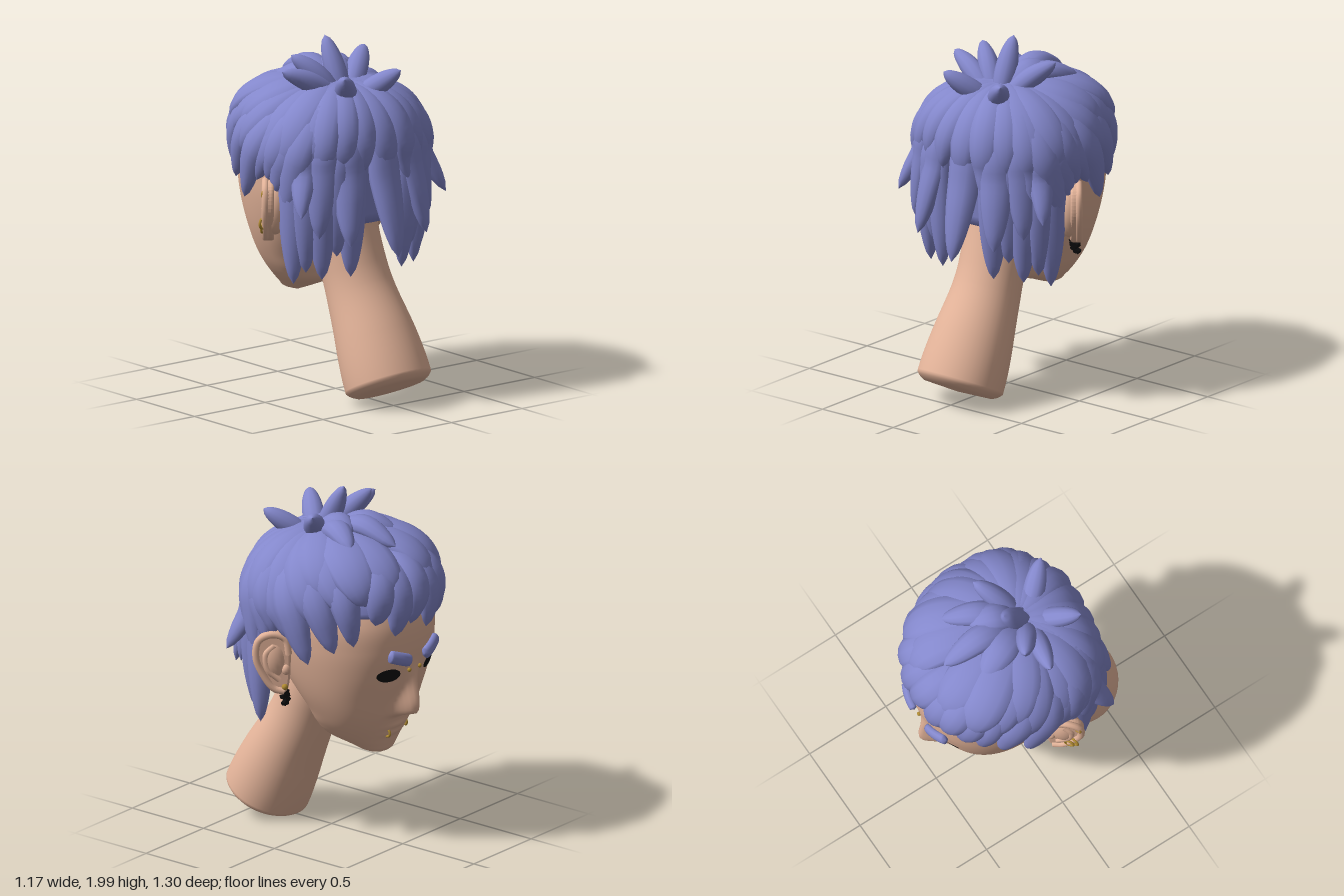
import * as THREE from 'three';

const V = (x, y, z) => new THREE.Vector3(x, y, z);
const mat = (name, color) => Object.assign(new THREE.MeshStandardMaterial({ color }), { name });
const smooth = THREE.MathUtils.smoothstep;
const spow = (v, e) => Math.sign(v) * Math.pow(Math.abs(v), e);

// Skin through closed rings of points, counter-clockwise around the direction of travel
function loft(rings) {
  const n = rings[0].length, pos = [], idx = [];
  rings.forEach(r => r.forEach(p => pos.push(p.x, p.y, p.z)));
  for (let i = 0; i < rings.length - 1; i++) for (let j = 0; j < n; j++) {
    const a = i * n + j, b = i * n + (j + 1) % n;
    idx.push(a, b, b + n, a, b + n, a + n);
  }
  const g = new THREE.BufferGeometry();
  g.setAttribute('position', new THREE.Float32BufferAttribute(pos, 3));
  g.setIndex(idx);
  g.computeVertexNormals();
  return g;
}

// Elliptical tube along a curve; out(p) gives the thickness direction, prof(t) the taper
function sweep(points, w, th, out, prof, steps = 16, sides = 12) {
  const c = new THREE.CatmullRomCurve3(points), rings = [];
  for (let i = 0; i <= steps; i++) {
    const t = i / steps, p = c.getPoint(t), T = c.getTangent(t), N = out(p);
    N.addScaledVector(T, -N.dot(T)).normalize();
    const B = N.clone().cross(T), r = Math.max(prof(t), 0.003);
    rings.push(Array.from({ length: sides }, (_, j) => {
      const q = j / sides * Math.PI * 2;
      return p.clone().addScaledVector(B, Math.cos(q) * w * r).addScaledVector(N, Math.sin(q) * th * r);
    }));
  }
  return loft(rings);
}

// Head slices: height, then face z, back z, half width
const levels = [0.515, 0.54, 0.58, 0.63, 0.70, 0.78, 0.9, 1.05, 1.2, 1.35, 1.5, 1.6, 1.67, 1.7];
const slices = [
  -0.335, -0.325, 0.005, -0.39, -0.26, 0.08, -0.412, -0.16, 0.135, -0.43, -0.03, 0.2, -0.46, 0.02, 0.258,
  -0.49, 0.05, 0.305, -0.525, 0.13, 0.36, -0.572, 0.24, 0.405, -0.597, 0.31, 0.43, -0.59, 0.33, 0.43,
  -0.53, 0.3, 0.37, -0.44, 0.23, 0.27, -0.28, 0.12, 0.15, -0.08, -0.06, 0.01];
const spline = new THREE.CubicInterpolant(levels, slices, 3, new Float32Array(3));
const EXP = 2.2;

// Nose, lips and eye sockets as relief on the face
function relief(x, y) {
  const nose = 0.104 * smooth(y, 0.765, 0.805) * (1 - smooth(y, 0.82, 1.13));
  const sig = 0.028 + 0.022 * (1 - smooth(y, 0.8, 0.98));
  const lip = h => 0.012 * Math.exp(-(((y - h) / 0.016) ** 2) - (x / 0.085) ** 2);
  const socket = 0.01 * Math.exp(-(((y - 1.04) / 0.06) ** 2) - ((Math.abs(x) - 0.15) / 0.07) ** 2);
  return nose * Math.exp(-x * x / (2 * sig * sig)) + lip(0.705) + lip(0.66) - socket;
}
function slice(y) {
  const [zf, zb, w] = spline.evaluate(y);
  return { zf, zb, w, zc: zf + (zb - zf) * 0.55 };
}
function faceZ(x, y) {
  const { zf, w, zc } = slice(y);
  return zc - (zc - zf) * Math.pow(1 - Math.min(1, Math.abs(x / w)) ** EXP, 1 / EXP) - relief(x, y);
}
function headGeometry() {
  const rings = [], rows = 100, n = 144;
  for (let i = 0; i <= rows; i++) {
    const y = 0.515 + 1.185 * i / rows, { zf, zb, w, zc } = slice(y);
    rings.push(Array.from({ length: n }, (_, j) => {
      const q = j / n * Math.PI * 2, c = spow(Math.cos(q), 2 / EXP), x = w * spow(Math.sin(q), 2 / EXP);
      return V(x, y, c < 0 ? zc + (zc - zf) * c - relief(x, y) * smooth(-c, 0, 0.5) : zc + (zb - zc) * c);
    }));
  }
  return loft(rings);
}

// Hair surface: azimuth a in degrees (0 = face side), s = 0 at the crown, 1 at the temples, more hangs down
function scalp(a, s, k = 0, lift = 1) {
  const q = a * Math.PI / 180, u = Math.min(s, 1) * Math.PI / 2, d = Math.max(0, s - 1);
  const cz = -spow(Math.cos(q), 0.95), e = 1 - 0.2 * smooth(-cz, 0, 0.6);
  const r = Math.pow(Math.sin(u), e) * (1 + k * d) * lift;
  const y = 1.35 + 0.37 * lift * Math.pow(Math.max(0, Math.cos(u)), e) - 0.9 * d;
  return V(0.47 * spow(Math.sin(q), 0.85) * r, y, (cz < 0 ? 0.59 : 0.39) * cz * r + 0.03 * (1 - Math.min(s, 1)));
}
const sAt = y => 1 + (1.35 - y) / (y < 1.35 ? 0.9 : 0.63);

export function createModel() {
  const root = new THREE.Group();
  const skin = mat('skin', 0xe3b399), hair = mat('hair', 0x8387cb);
  const black = mat('black', 0x0b0b0c), gold = mat('gold', 0xb08b32);
  black.side = THREE.DoubleSide;
  const add = (name, geo, m, parent = root) => {
    const mesh = new THREE.Mesh(geo, m);
    mesh.name = name;
    parent.add(mesh);
    return mesh;
  };

  add('head', headGeometry(), skin);

  // Neck with a rounded, tilted cut
  add('neck', sweep([V(0.015, 0.085, 0.46), V(0.015, 0.36, 0.327), V(0.01, 0.62, 0.195), V(0, 0.9, 0.09), V(0, 1.15, 0.03)],
    0.247, 0.236, () => V(0, 0, 1),
    t => (t === 0 ? 0 : Math.pow(Math.min(1, t / 0.04), 0.16) * (1 - 0.24 * smooth(t, 0.05, 0.6))), 100, 40), skin);

  // Ears: flared shell with a raised rim, inner fold and full back
  const outline = [[-0.08, 0.05], [-0.06, 0.14], [0.01, 0.165], [0.085, 0.13], [0.1, 0.03], [0.06, -0.07],
    [0.0, -0.15], [-0.055, -0.165], [-0.075, -0.09]].map(([x, y]) => new THREE.Vector2(x, y));
  const rim = list => new THREE.CatmullRomCurve3(list.map(([x, y, z]) => V(x, y, z)));
  const shell = new THREE.ExtrudeGeometry(new THREE.Shape(new THREE.SplineCurve([...outline, outline[0]]).getPoints(48)),
    { depth: 0.02, bevelSize: 0.012, bevelThickness: 0.015, bevelSegments: 3 });
  const helix = new THREE.TubeGeometry(rim(outline.slice(0, 8).map(p => [p.x, p.y, -0.012])), 40, 0.02, 10);
  const fold = new THREE.TubeGeometry(rim([[0.0, 0.1, -0.008], [0.045, 0.05, -0.014], [0.03, -0.04, -0.014], [-0.03, -0.1, -0.012]]), 20, 0.018, 8);
  const base = new THREE.SphereGeometry(1, 24, 16).scale(0.088, 0.145, 0.075).translate(0.003, 0.01, 0.04);
  const tragus = new THREE.SphereGeometry(0.026, 12, 8).scale(1, 1.3, 1).translate(-0.065, -0.04, -0.005);
  for (const side of [1, -1]) {
    const flip = new THREE.Group(), ear = new THREE.Group();
    flip.name = side > 0 ? 'leftEar' : 'rightEar';
    flip.scale.x = side;
    ear.matrixAutoUpdate = false;
    ear.matrix.makeBasis(V(0.64, 0, 0.768), V(0, 1, 0), V(-0.768, 0, 0.64)).setPosition(0.49, 1.1, 0.01);
    Object.entries({ shell, helix, fold, base, tragus }).forEach(([n, g]) => add(n, g, skin, ear));
    flip.add(ear);
    root.add(flip);
  }

  // Eyes, brows and bridge studs
  for (const side of [1, -1]) {
    const eye = new THREE.RingGeometry(0.001, 1, 28, 4), p = eye.attributes.position;
    for (let i = 0; i < p.count; i++) {
      const ox = p.getX(i) * 0.07, x = side * (0.172 + ox), y = 1.056 + p.getY(i) * 0.04 + ox * 0.1;
      p.setXYZ(i, x, y, faceZ(x, y) - 0.009);
    }
    eye.computeVertexNormals();
    add('eye', eye, black);
    const at = (x, y) => V(side * x, y, faceZ(x, y) - 0.018);
    add('eyebrow', sweep([at(0.06, 1.128), at(0.13, 1.155), at(0.205, 1.185)], 0.036, 0.025, () => V(0, 0, -1),
      t => (t === 0 || t === 1 ? 0 : 1 - 0.2 * Math.pow(Math.abs(2 * t - 1), 6)), 16, 12), hair);
    add('bridgeStud', new THREE.SphereGeometry(0.012, 10, 8).translate(side * 0.045, 1.065, faceZ(0.045, 1.065) - 0.006), gold);
  }

  // Lip rings, ear rings and the hanging earring
  const ring = (name, r, x, y, z, ry) => {
    const m = add(name, new THREE.TorusGeometry(r, 0.007, 8, 20), gold);
    m.position.set(x, y, z);
    m.rotation.y = ry;
  };
  ring('lipRing', 0.02, 0.06, 0.665, faceZ(0.06, 0.665) + 0.008, Math.PI / 2);
  ring('lipRing', 0.02, -0.14, 0.67, faceZ(0.14, 0.67) + 0.004, 1.1);
  ring('earRing', 0.026, -0.55, 1.21, 0.06, 0.3);
  ring('earRing', 0.028, -0.55, 1.04, 0.04, 0.3);
  ring('earRing', 0.026, -0.535, 1.01, 0.02, 0.6);
  add('earStud', new THREE.SphereGeometry(0.018, 12, 8).translate(0.465, 0.96, -0.045), gold);
  const drop = new THREE.Group();
  drop.name = 'hangingEarring';
  drop.position.set(0.445, 0.9, -0.03);
  drop.rotation.x = 0.2;
  add('stem', new THREE.BoxGeometry(0.02, 0.1, 0.024), black, drop);
  for (const y of [-0.03, 0, 0.03]) {
    const bar = add('bar', new THREE.BoxGeometry(0.058, 0.02, 0.026), black, drop);
    bar.position.y = y;
    bar.rotation.z = y * 15;
  }
  root.add(drop);

  // Hair base under the locks, low at the nape and high over the face
  const cap = [];
  for (let i = -1; i <= 24; i++) cap.push(Array.from({ length: 64 }, (_, j) => {
    const a = 180 - j / 64 * 360, back = smooth(-Math.cos(a * Math.PI / 180), -0.1, 0.5);
    const p = scalp(a, (0.94 + 0.42 * back) * (1 - Math.max(i, 0) / 24), -0.2, 0.985);
    return i < 0 ? V(p.x * 0.7, p.y, p.z * 0.7) : p;
  }));
  add('hairBase', loft(cap), hair);

  // Round-tipped locks laid over the scalp, bulging midway; each tip is [azimuth, height]
  const taper = t => (t < 0.45 ? 0.6 + 0.4 * Math.sin(t / 0.45 * Math.PI / 2) : Math.pow(1 - ((t - 0.45) / 0.55) ** 2, 0.6));
  const outward = p => V(p.x, p.y > 1.3 ? p.y - 1.3 : 0, p.z);
  const locks = (name, s0, w, k, lift, swirl, tips) => tips.forEach(([a, y], n) => {
    const pts = Array.from({ length: 8 }, (_, i) => {
      const t = i / 7, bulge = (0.015 + 0.025 * (n % 2)) * Math.sin(Math.PI * t);
      return scalp(a + swirl * (t * t - 1), s0 + (sAt(y) - s0) * t, k, lift + bulge - 0.01);
    });
    add(name, sweep(pts, w, 0.07, outward, taper, 20, 12), hair);
  });
  locks('napeLock', 0.7, 0.085, 0, 0.96, 0, [[136, 0.73], [160, 0.74], [-160, 0.74], [-137, 0.73], [148, 0.84], [-149, 0.86]]);
  locks('middleBackLock', 0.45, 0.1, 0.68, 0.98, 0, [[179, 0.85], [157, 0.94], [-157, 0.94]]);
  locks('outerBackLock', 0.45, 0.095, 0.4, 0.99, 0, [[138, 1.0], [-137, 0.98]]);
  locks('upperBackLock', 0.1, 0.1, 0.9, 1.05, 0, [[179, 1.23], [165, 1.24], [-167, 1.33], [-153, 1.35], [149, 1.34], [-138, 1.27], [133, 1.24]]);
  for (const m of [1, -1]) {
    const side = tips => tips.map(([a, y]) => [a * m, y]);
    locks('behindEarLock', 0.7, 0.085, 0.02, 0.97, 0, side([[113, 0.7], [124, 0.77]]));
    locks('flickLock', 0.4, 0.09, 1.2, 1.02, m * 8, side([[128, 1.11]]));
    locks('sideLock', 0.3, 0.1, 0.12, 1.03, m * -16, side([[56, 1.21], [71, 1.13], [82, 1.25], [91, 1.26], [98, 1.2], [109, 1.1]]));
    locks('upperSideLock', 0.08, 0.12, 0.1, 1.05, m * -14, side([[48, 1.42], [66, 1.36], [85, 1.34], [102, 1.31], [119, 1.3]]));
    locks('templeLock', 0.3, 0.09, 0, 1.02, m * -8, side([[44, 1.25]]));
    locks('topLock', 0.06, 0.14, 0, 1.08, m * -8, side([[14, 1.5], [36, 1.46], [60, 1.5]]));
  }
  locks('fringeLock', 0.35, 0.105, 0, 1.02, 8, [[-32, 1.29], [-20, 1.33], [-8, 1.28], [4, 1.34], [16, 1.29], [30, 1.36]]);

  // Loose spikes at the crown: tip, half width, arch
  const spikes = [[-0.02, 2.0, -0.07, 0.062, 0], [0.27, 1.9, -0.08, 0.062, 0.02], [-0.25, 1.92, -0.08, 0.058, 0.02],
    [-0.38, 1.86, 0.0, 0.058, 0.02], [0.2, 1.84, 0.32, 0.062, 0], [-0.2, 1.85, 0.32, 0.062, 0], [0.23, 1.76, -0.32, 0.075, 0.09],
    [0, 1.74, -0.45, 0.08, 0.11], [-0.19, 1.74, -0.32, 0.095, 0.09], [0.11, 1.8, -0.22, 0.085, 0.08]];
  for (const [x, y, z, w, arch] of spikes) {
    const a = V(x * 0.1, 1.66, 0.09 + z * 0.1), b = V(x, y, z), mid = a.clone().lerp(b, 0.5);
    mid.y += arch;
    add('crownSpike', sweep([a, mid, b], w, 0.058, () => V(-x * 0.3, 1, 0.4), taper, 16, 12), hair);
  }
  return root;
}
